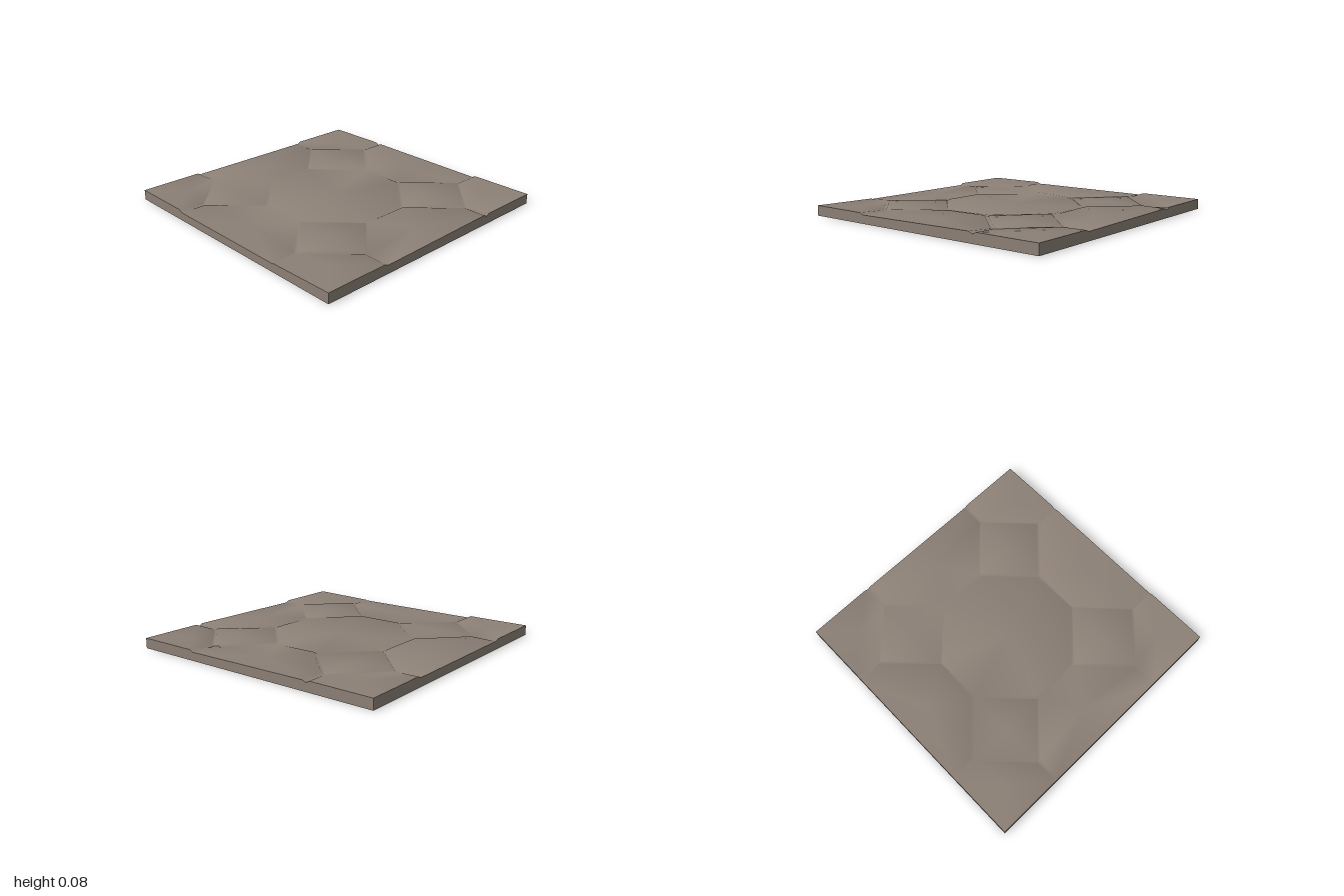
import * as THREE from 'three';
import { mergeVertices } from 'three/addons/utils/BufferGeometryUtils.js';

const LOW = 0.06, RISE = 0.015, INSET = 0.03;
const A = 0.18, B = 0.5, C = 0.82;

// Each stone: corners as [x, z, lift], where lift 0..1 raises the corner out of the joint
const STONES = {
  octagon: [[-A, -B, 0], [A, -B, 0.5], [B, -A, 0.5], [B, A, 0.2], [A, B, 0.8], [-A, B, 0.8], [-B, A, 0], [-B, -A, 0.3]],
  diamondBackLeft: [[-C, -B, 0.6], [-B, -C, 0.2], [-A, -B, 0], [-B, -A, 0.2]],
  diamondBackRight: [[A, -B, 0.8], [B, -C, 0.3], [C, -B, 0.8], [B, -A, 0.3]],
  diamondFrontLeft: [[-C, B, 0], [-B, A, 0], [-A, B, 0.4], [-B, C, 0.2]],
  diamondFrontRight: [[A, B, 0.2], [B, A, 0.2], [C, B, 1], [B, C, 1]],
  frontHalf: [[-B, 1, 0], [-B, C, 0.7], [-A, B, 0], [A, B, 0], [B, C, 0.5], [B, 1, 0]],
  backHalf: [[-B, -1, 0.8], [-B, -C, 1], [-A, -B, 1], [A, -B, 0], [B, -C, 0.3], [B, -1, 0.1]],
  leftHalf: [[-1, -B, 0.1], [-C, -B, 0.5], [-B, -A, 0.2], [-B, A, 1], [-C, B, 1], [-1, B, 0.2]],
  rightHalf: [[1, -B, 1], [C, -B, 0.3], [B, -A, 0.6], [B, A, 0.2], [C, B, 0], [1, B, 0.1]],
  cornerBackLeft: [[-1, -1, 1], [-B, -1, 1], [-B, -C, 0], [-C, -B, 0], [-1, -B, 1]],
  cornerBackRight: [[1, -1, 1], [B, -1, 1], [B, -C, 0.6], [C, -B, 0.2], [1, -B, 1]],
  cornerFrontLeft: [[-1, 1, 1], [-B, 1, 1], [-B, C, 0.5], [-C, B, 0], [-1, B, 1]],
  cornerFrontRight: [[1, 1, 1], [B, 1, 0.3], [B, C, 0], [C, B, 0.5], [1, B, 1]],
};

function pushTri(list, a, b, c) {
  const n = b.clone().sub(a).cross(c.clone().sub(a));
  if (n.length() > 1e-8) list.push(...a.toArray(), ...b.toArray(), ...c.toArray());
}

function pushQuad(list, a, b, c, d) {
  pushTri(list, a, b, c);
  pushTri(list, a, c, d);
}

function toGeometry(list) {
  const g = new THREE.BufferGeometry();
  g.setAttribute('position', new THREE.Float32BufferAttribute(list, 3));
  return g;
}

// Smooth normals weighted by corner angle, so that narrow bevels count too
function smoothByAngle(source) {
  const g = mergeVertices(source, 1e-4);
  const pos = g.attributes.position, idx = g.index;
  const at = (i) => new THREE.Vector3().fromBufferAttribute(pos, i);
  const normals = Array.from({ length: pos.count }, () => new THREE.Vector3());
  for (let t = 0; t < idx.count; t += 3) {
    const ids = [0, 1, 2].map((k) => idx.getX(t + k));
    const p = ids.map(at);
    const n = p[1].clone().sub(p[0]).cross(p[2].clone().sub(p[0])).normalize();
    ids.forEach((id, k) => {
      const u = p[(k + 1) % 3].clone().sub(p[k]);
      const v = p[(k + 2) % 3].clone().sub(p[k]);
      if (u.length() > 0 && v.length() > 0) normals[id].addScaledVector(n, u.angleTo(v));
    });
  }
  g.setAttribute('normal', new THREE.Float32BufferAttribute(normals.flatMap((n) => n.normalize().toArray()), 3));
  return g;
}

// Adds one stone's face and bevels to top, and its outer edge to walls
function addStone(corners, top, walls) {
  const cx = corners.reduce((s, c) => s + c[0], 0) / corners.length;
  const cz = corners.reduce((s, c) => s + c[1], 0) / corners.length;
  const ring = corners
    .slice()
    .sort((p, q) => Math.atan2(q[1] - cz, q[0] - cx) - Math.atan2(p[1] - cz, p[0] - cx))
    .map(([x, z, lift]) => {
      const raised = new THREE.Vector3(x, LOW + RISE * lift, z);
      const inward = new THREE.Vector3(cx - x, 0, cz - z);
      if (Math.abs(x) === 1) inward.x = 0;
      if (Math.abs(z) === 1) inward.z = 0;
      raised.addScaledVector(inward.normalize(), INSET * lift);
      const outer = Math.abs(x) === 1 && Math.abs(z) === 1;
      return { x, z, raised, joint: outer ? raised.clone() : new THREE.Vector3(x, LOW, z) };
    });
  const centre = new THREE.Vector3();
  ring.forEach((p) => centre.addScaledVector(p.raised, 1 / ring.length));

  ring.forEach((p, i) => {
    const q = ring[(i + 1) % ring.length];
    pushTri(top, centre, p.raised, q.raised);
    const onEdge = (Math.abs(p.x) === 1 && p.x === q.x) || (Math.abs(p.z) === 1 && p.z === q.z);
    if (!onEdge) {
      pushQuad(top, p.joint, q.joint, q.raised, p.raised);
      return;
    }
    const line = [p.joint, p.raised, q.raised, q.joint];
    for (let k = 0; k < 3; k++) {
      const a = line[k], b = line[k + 1];
      pushQuad(walls, a, a.clone().setY(0), b.clone().setY(0), b);
    }
  });
}

export function createModel() {
  const group = new THREE.Group();
  group.name = 'floorTile';
  const stone = new THREE.MeshStandardMaterial({ color: 0x8c8076, side: THREE.DoubleSide });
  stone.name = 'stone';

  const top = [], walls = [];
  Object.values(STONES).forEach((corners) => addStone(corners, top, walls));

  // Uneven paving surface
  const paving = new THREE.Mesh(smoothByAngle(toGeometry(top)), stone);
  paving.name = 'pavingSurface';

  // Thin rim around the open underside
  const rimGeometry = toGeometry(walls);
  rimGeometry.computeVertexNormals();
  const rim = new THREE.Mesh(rimGeometry, stone);
  rim.name = 'sideRim';

  group.add(paving, rim);
  return group;
}
